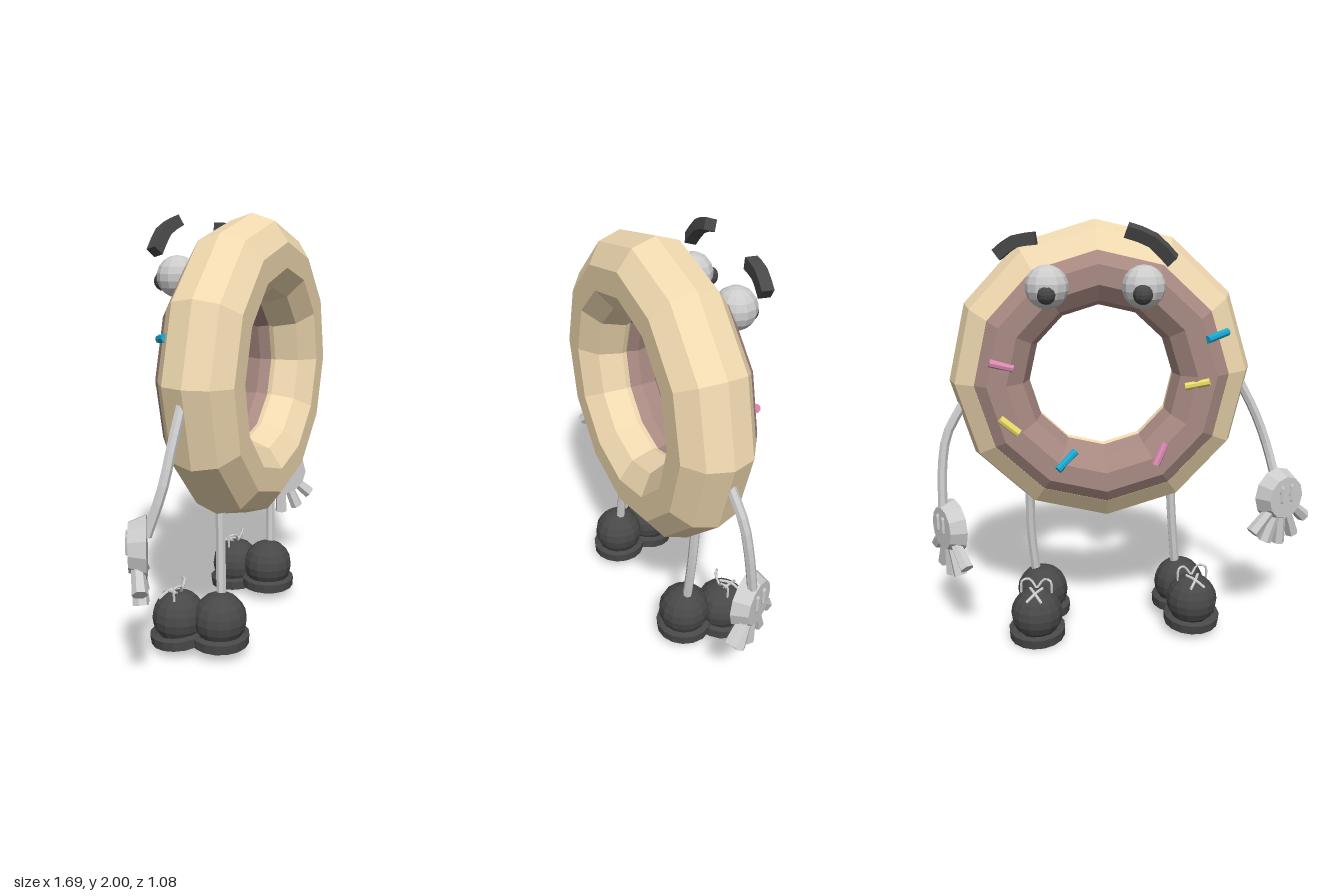
import * as THREE from 'three';

const V = (x, y, z) => new THREE.Vector3(x, y, z);
const mat = (color) => new THREE.MeshStandardMaterial({ color, flatShading: true, side: THREE.DoubleSide });
const GREY = mat(0xcccccc), DARK = mat(0x484848), DOUGH = mat(0xf0d9b0), ICING = mat(0xa98a83);
const PINK = mat(0xe08bb5), YELLOW = mat(0xefe06a), BLUE = mat(0x18a8d0);

function add(parent, name, geometry, material, pos = V(0, 0, 0)) {
  const m = new THREE.Mesh(geometry, material);
  m.name = name;
  m.position.copy(pos);
  parent.add(m);
  return m;
}

// Cylinder running from a to b
function rod(parent, name, a, b, r0, r1, sides, material) {
  const dir = b.clone().sub(a);
  const m = add(parent, name, new THREE.CylinderGeometry(r1, r0, dir.length(), sides), material,
    a.clone().add(b).multiplyScalar(0.5));
  m.quaternion.setFromUnitVectors(V(0, 1, 0), dir.normalize());
  return m;
}

function limb(parent, name, points, r = 0.023, material = GREY) {
  const curve = new THREE.CatmullRomCurve3(points);
  return add(parent, name, new THREE.TubeGeometry(curve, 8, r, 7), material);
}

// Ring body: local +z is the iced face
function makeBody() {
  const body = new THREE.Group();
  body.name = 'ringBody';
  body.position.set(0.097, 1.28, 0.035);
  body.rotation.y = -Math.PI * 5 / 6;
  add(body, 'dough', new THREE.TorusGeometry(0.533, 0.187, 10, 12), DOUGH).rotation.z = 0.035;
  const R = 0.485, r = 0.148, lift = 0.08;
  add(body, 'icing', new THREE.TorusGeometry(R, r, 10, 12), ICING, V(0, 0, lift)).rotation.z = 0.035;

  // Sprinkles follow the slope of the icing: x, y, angle, material
  const surface = (x, y) => {
    const d = Math.hypot(x, y) - R;
    return V(x, y, lift + Math.sqrt(Math.max(0.003, r * r - d * d)));
  };
  [
    [-0.46, 0.08, -15, PINK], [-0.43, -0.2, -40, YELLOW], [-0.17, -0.38, 40, BLUE],
    [0.27, -0.35, 65, PINK], [0.44, -0.02, 15, YELLOW], [0.53, 0.2, 12, BLUE],
  ].forEach(([x, y, deg, m]) => {
    const a = deg * Math.PI / 180, dx = 0.055 * Math.cos(a), dy = 0.055 * Math.sin(a);
    rod(body, 'sprinkle', surface(x - dx, y - dy), surface(x + dx, y + dy), 0.019, 0.019, 8, m);
  });
  return body;
}

// Gloved hand: fingers hang down, local +z is the back of the hand
function makeHand(name, pos, nx, nz, side) {
  const hand = new THREE.Group();
  hand.name = name;
  hand.position.copy(pos);
  hand.rotation.y = Math.atan2(nx, nz);
  add(hand, 'palm', new THREE.CylinderGeometry(0.105, 0.135, 0.075, 12), GREY).rotation.x = Math.PI / 2;
  [[-50, 0.215], [-23, 0.235], [0, 0.245], [22, 0.24], [46, 0.235]].forEach(([deg, len], i) => {
    const a = side * deg * Math.PI / 180, s = Math.sin(a), c = -Math.cos(a);
    rod(hand, i ? 'finger' : 'thumb', V(s * 0.08, c * 0.08, 0), V(s * len, c * len, -0.01), 0.026, 0.034, 6, GREY);
  });
  for (const x of [-0.03, 0.03]) {
    add(hand, 'gloveSeam', new THREE.CapsuleGeometry(0.011, 0.07, 2, 6), GREY, V(x, 0.02, 0.04));
  }
  return hand;
}

// Shoe: heel and toe balls on flared soles, with a bow on top
function makeShoe(name, heel, toe) {
  const shoe = new THREE.Group();
  shoe.name = name;
  const dir = toe.clone().sub(heel).setY(0).normalize();
  const sideways = V(dir.z, 0, -dir.x);
  [['heel', heel, 0], ['toe', toe, 0.1]].forEach(([part, c, tilt]) => {
    add(shoe, part, new THREE.SphereGeometry(0.126, 14, 10), DARK, c);
    const profile = [[0, -0.015], [0.09, -0.015], [0.1, -0.03], [0.135, -0.03], [0.138, 0.015], [0.115, 0.025]];
    const sole = add(shoe, part + 'Sole',
      new THREE.LatheGeometry(profile.map(([x, y]) => new THREE.Vector2(x, y)), 16), DARK,
      c.clone().add(V(0, -0.088, 0)));
    sole.quaternion.setFromAxisAngle(sideways, tilt);
  });
  // Point around the toe ball: along the shoe, up, sideways
  const at = (f, u, s) => toe.clone().addScaledVector(dir, f).add(V(0, u, 0)).addScaledVector(sideways, s);
  for (const s of [-1, 1]) {
    limb(shoe, 'laceLoop', [at(-0.01, 0.12, 0), at(-0.02, 0.165, s * 0.035), at(0, 0.165, s * 0.07),
      at(0, 0.105, s * 0.075)], 0.006);
    limb(shoe, 'laceCross', [at(0, 0.127, s * 0.03), at(0.05, 0.12, 0), at(0.085, 0.092, -s * 0.035)], 0.007);
  }
  return shoe;
}

// Square strip bent over the eye
function makeBrow(parent, name, a, mid, b) {
  const w = 0.027;
  const shape = new THREE.Shape([[-w, -w], [w, -w], [w, w], [-w, w]].map(([x, y]) => new THREE.Vector2(x, y)));
  const path = new THREE.CatmullRomCurve3([a, mid, b]);
  add(parent, name, new THREE.ExtrudeGeometry(shape, { steps: 4, extrudePath: path, bevelEnabled: false }), DARK);
}

export function createModel() {
  const model = new THREE.Group();
  model.name = 'ringCharacter';
  model.add(makeBody());

  // Eyes with protruding pupils
  [['rightEye', V(-0.2, 1.715, -0.125), V(-0.23, 1.69, -0.2)],
    ['leftEye', V(0.18, 1.715, -0.315), V(0.15, 1.69, -0.372)]].forEach(([name, c, p]) => {
    add(model, name, new THREE.SphereGeometry(0.097, 12, 9), GREY, c);
    add(model, name + 'Pupil', new THREE.SphereGeometry(0.045, 10, 8), DARK, p);
  });
  makeBrow(model, 'rightBrow', V(-0.33, 1.83, -0.11), V(-0.25, 1.92, -0.155), V(-0.15, 1.96, -0.2));
  makeBrow(model, 'leftBrow', V(0.2, 1.925, -0.365), V(0.29, 1.91, -0.4), V(0.36, 1.855, -0.425));

  // Arms and hands
  limb(model, 'rightArm', [V(-0.49, 1.25, 0.35), V(-0.57, 1.08, 0.39), V(-0.63, 0.92, 0.41), V(-0.7, 0.72, 0.39)]);
  limb(model, 'leftArm', [V(0.66, 1.14, -0.31), V(0.715, 1.0, -0.37), V(0.73, 0.85, -0.4), V(0.72, 0.6, -0.43)]);
  model.add(makeHand('rightHand', V(-0.73, 0.675, 0.37), -0.85, -0.53, -1));
  model.add(makeHand('leftHand', V(0.69, 0.55, -0.43), 0.49, -0.87, 1));

  // Legs and shoes
  limb(model, 'rightLeg', [V(-0.2, 0.75, 0.21), V(-0.21, 0.5, 0.225), V(-0.225, 0.22, 0.25)]);
  limb(model, 'leftLeg', [V(0.38, 0.75, -0.175), V(0.39, 0.5, -0.16), V(0.375, 0.22, -0.135)]);
  model.add(makeShoe('rightShoe', V(-0.24, 0.168, 0.26), V(-0.37, 0.16, 0.11)));
  model.add(makeShoe('leftShoe', V(0.35, 0.165, -0.125), V(0.275, 0.132, -0.31)));
  return model;
}
